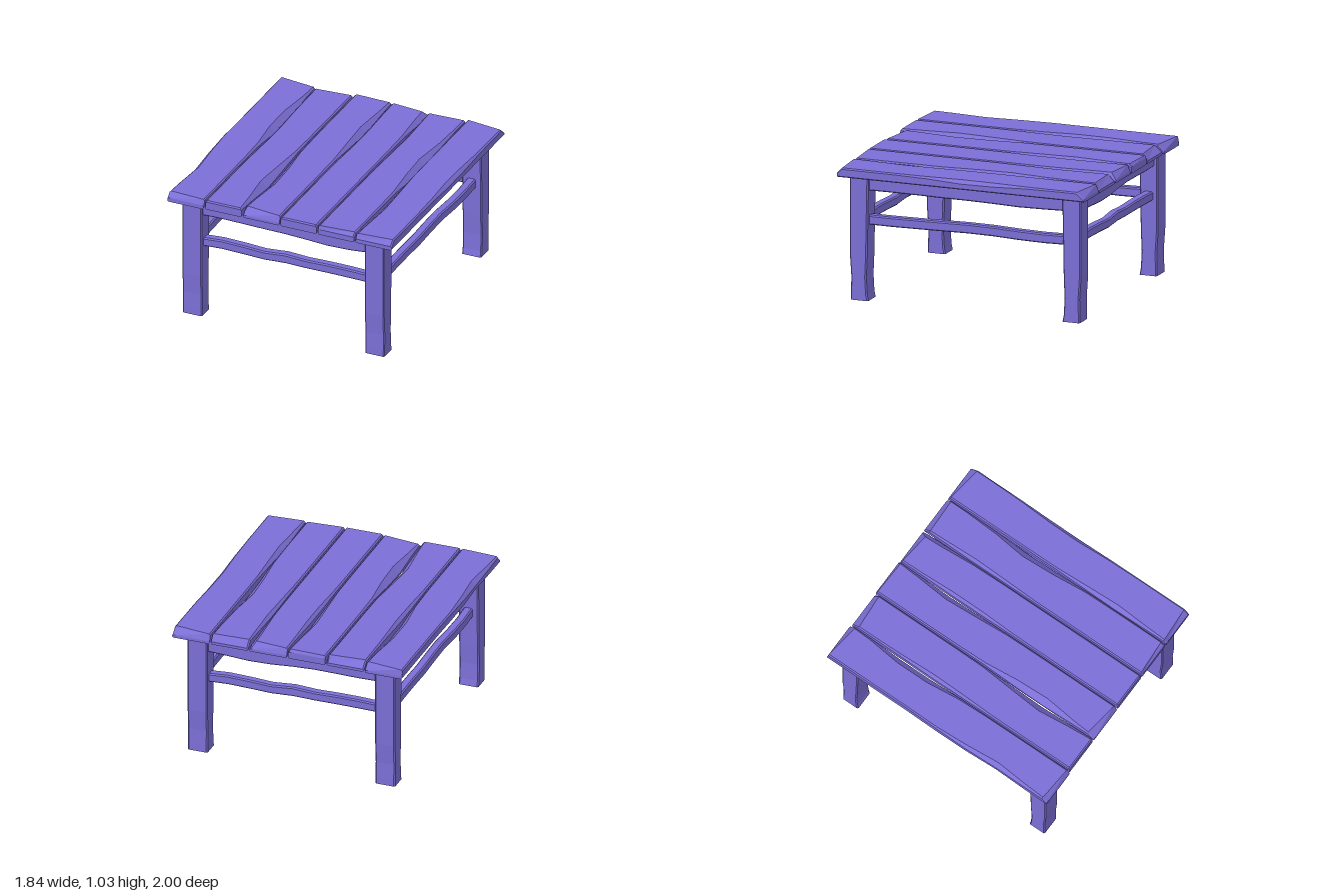
import * as THREE from 'three';

const material = new THREE.MeshStandardMaterial({ color: 0x7b6fd6, flatShading: true });

// Smooth bump of the given height around a centre
const bump = (x, centre, height, width = 0.3) => height * Math.exp(-(((x - centre) / width) ** 2));

// Evenly spaced values from a to b
const steps = (a, b, n) => Array.from({ length: n + 1 }, (_, i) => a + ((b - a) * i) / n);

// Eight-cornered section of a hewn beam at z; the top bevels have their own widths
function ring({ z, l, r, b, t, bevelL = 0.01, bevelR = 0.01 }) {
  const c = 0.008;
  return [
    [l + c, b, z], [r - c, b, z], [r, b + c, z], [r, t - Math.min(bevelR, 0.055), z],
    [r - bevelR, t, z], [l + bevelL, t, z], [l, t - Math.min(bevelL, 0.055), z], [l, b + c, z],
  ];
}

// Closed skin over a row of rings
function loft(name, rings) {
  const n = rings[0].length;
  const last = (rings.length - 1) * n;
  const index = [];
  for (let a = 0; a < last; a += n) {
    for (let j = 0; j < n; j++) {
      const k = (j + 1) % n;
      index.push(a + j, a + k, a + k + n, a + j, a + k + n, a + j + n);
    }
  }
  for (let j = 1; j < n - 1; j++) index.push(0, j + 1, j, last, last + j, last + j + 1);
  const indexed = new THREE.BufferGeometry();
  indexed.setAttribute('position', new THREE.Float32BufferAttribute(rings.flat(2), 3));
  indexed.setIndex(index);
  const geometry = indexed.toNonIndexed();
  geometry.computeVertexNormals();
  const mesh = new THREE.Mesh(geometry, material);
  mesh.name = name;
  return mesh;
}

// Worn spots of each board: [z, bevel width] on the left and right edge,
// and the chamfer depth [at left, at right] of the back and front ends
const PLANKS = [
  { left: [0.5, 0.025], right: [-0.4, 0.045], back: [0.01, 0.05], front: [0.04, 0.02] },
  { left: [-0.2, 0.015], right: [0.5, 0.045], back: [0.06, 0.04], front: [0.01, 0.01] },
  { left: [0.45, 0.045], right: [-0.5, 0.035], back: [0.01, 0.02], front: [0.06, 0.02] },
  { left: [-0.4, 0.015], right: [-0.95, 0.03], back: [0.02, 0.05], front: [0.01, 0.01] },
  { left: [-0.5, 0.015], right: [-0.2, 0.045], back: [0.05, 0.04], front: [0.01, 0.03] },
  { left: [0.5, 0.025], right: [-0.1, 0.02], back: [0.02, 0.06], front: [0.02, 0.04] },
];

function plank({ left, right, back, front }, i) {
  const l = -0.913 + i * 0.3075;
  const end = i === 0 ? 1 : 0.992;
  const at = (z) => ({
    z, l: l + (i === 0 ? bump(z, 0.5, 0.008, 0.2) - bump(z, 0.15, 0.008, 0.2) : 0),
    r: l + 0.296, b: 0.956, t: 1.028,
    bevelL: 0.01 + bump(z, ...left), bevelR: 0.01 + bump(z, ...right),
  });
  // End face with a lowered top, then the full section set back by the chamfer
  const cap = (z, depths) => ring({ ...at(z), t: 1.028 - Math.min(0.05, Math.max(...depths)), bevelL: 0.01, bevelR: 0.01 });
  const setBack = (z, [dl, dr]) => ring(at(z)).map(([x, y]) =>
    [x, y, z - Math.sign(z) * (dl + ((dr - dl) * (x - l)) / 0.296)]);
  return loft('plank' + (i + 1), [
    cap(-end, back), setBack(-end, back),
    ...steps(-0.8, 0.8, 6).map((z) => ring(at(z))),
    setBack(end, front), cap(end, front),
  ]);
}

// Rail along z, with wavering sides and rules for its lower and upper edges
function rail(name, half, thick, bottom, top) {
  return loft(name, steps(-half, half, 8).map((z) => {
    const sway = 0.005 * Math.sin(z * 9);
    return ring({ z, l: sway - thick / 2, r: sway + thick / 2, b: bottom(z), t: top(z) });
  }));
}

// Leg outline seen from the side: [height, outer z, inner z]
const LEG = [[0, 0.92, 0.78], [0.05, 0.92, 0.79], [0.18, 0.917, 0.797], [0.34, 0.928, 0.79], [0.957, 0.928, 0.779]];

function leg(name, side, depth) {
  const mesh = loft(name, LEG.map(([y, outer, inner]) => {
    const x = side * 0.747, v = -depth * (outer + inner) / 2, h = (outer - inner) / 2;
    return ring({ z: y, l: x - 0.079, r: x + 0.079, b: v - h, t: v + h });
  }));
  mesh.rotation.x = -Math.PI / 2;
  return mesh;
}

export function createModel() {
  const model = new THREE.Group();
  model.name = 'plankTable';

  const top = new THREE.Group();
  top.name = 'tableTop';
  top.add(...PLANKS.map(plank));
  model.add(top);

  const underBoards = () => 0.96;
  for (const side of [1, -1]) {
    const depthName = side > 0 ? 'front' : 'back';
    const sideName = side > 0 ? 'left' : 'right';

    // Rails across the front and back
    const across = [
      rail(depthName + 'Apron', 0.7, 0.09, (x) => 0.842 - bump(x, 0.35, 0.025), underBoards),
      rail(depthName + 'Stretcher', 0.7, 0.07, (x) => 0.581 + 0.004 * Math.cos(x * 14), (x) => 0.652 + 0.007 * Math.cos(x * 14)),
    ];
    for (const r of across) {
      r.rotation.y = Math.PI / 2;
      r.position.z = side * 0.853;
    }

    // Rails along the left and right
    const along = [
      rail(sideName + 'Apron', 0.82, 0.09, (z) => 0.841 - bump(z, -0.4, 0.009), underBoards),
      rail(sideName + 'Stretcher', 0.82, 0.07, (z) => 0.581 + 0.006 * Math.cos(z * 5), (z) => 0.655 + 0.006 * Math.cos(z * 5)),
    ];
    for (const r of along) r.position.x = side * 0.748;

    model.add(...across, ...along);
    for (const depth of [1, -1]) {
      model.add(leg((depth > 0 ? 'front' : 'back') + (side > 0 ? 'Left' : 'Right') + 'Leg', side, depth));
    }
  }
  return model;
}
